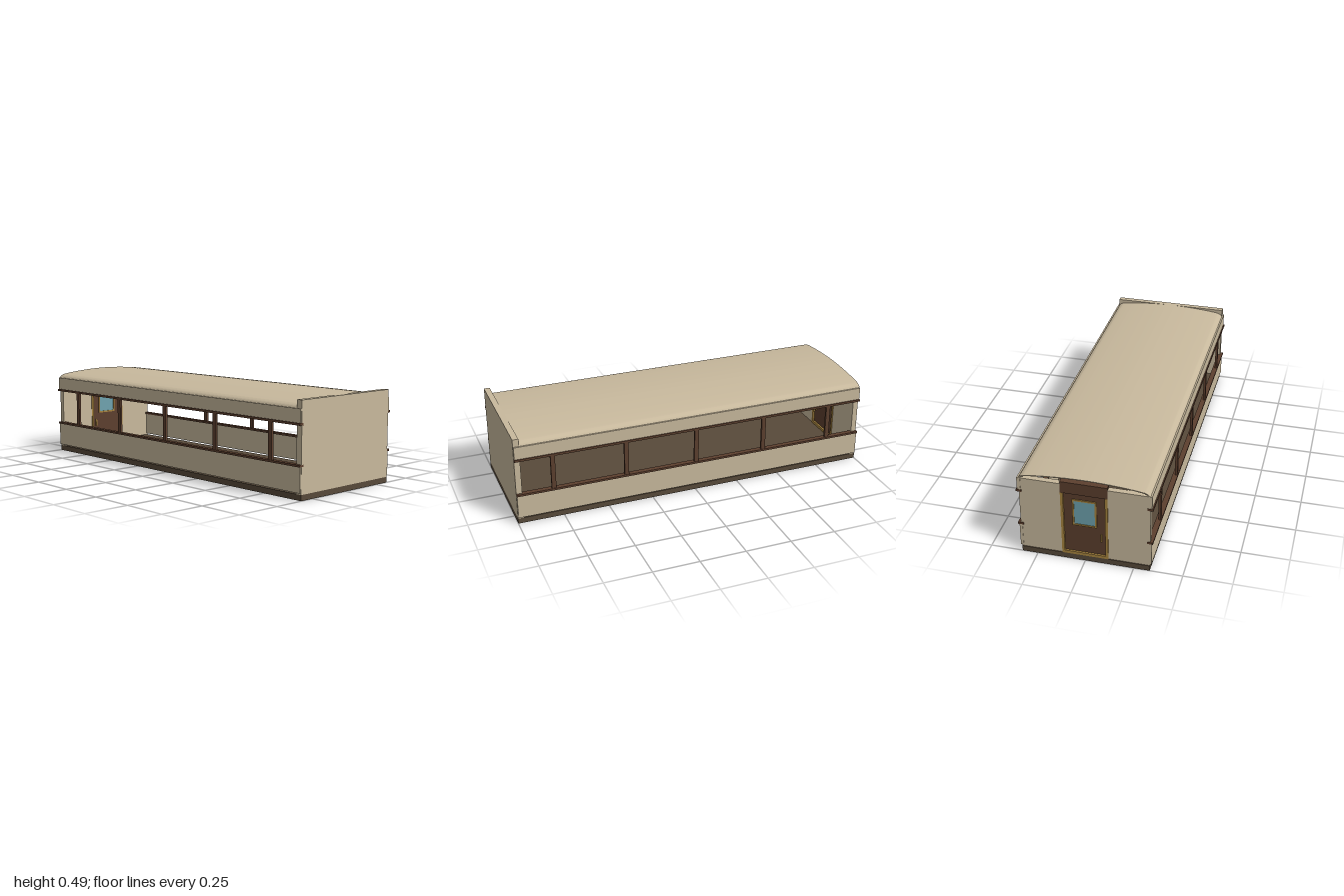
import * as THREE from 'three';

const mat = (color) => new THREE.MeshStandardMaterial({ color });

export function createModel() {
  const group = new THREE.Group();
  const cream = mat(0xc8b99d);
  const brown = mat(0x5c3f2e);
  const dark = mat(0x584a3a);
  const brass = mat(0xa8843f);
  const glass = mat(0x6fa3ae);

  // Box given by its min and max on each axis
  const box = (name, material, [x0, x1], [y0, y1], [z0, z1], parent = group) => {
    const mesh = new THREE.Mesh(new THREE.BoxGeometry(x1 - x0, y1 - y0, z1 - z0), material);
    mesh.position.set((x0 + x1) / 2, (y0 + y1) / 2, (z0 + z1) / 2);
    mesh.name = name;
    parent.add(mesh);
    return mesh;
  };
  // Range on the left (+x) or the right (-x)
  const span = (s, a, b) => (s > 0 ? [a, b] : [-b, -a]);

  // Floor slab and closed front wall
  box('floor', dark, [-0.332, 0.332], [0, 0.03], [-1, 1]);
  box('frontWall', cream, [-0.333, 0.333], [0.03, 0.492], [0.968, 1]);

  // Long sides: panels, rails and window posts
  for (const s of [1, -1]) {
    const side = new THREE.Group();
    side.name = s > 0 ? 'leftSide' : 'rightSide';
    group.add(side);
    box('lowerPanel', cream, span(s, 0.325, 0.34), [0.038, 0.174], [-0.998, 0.998], side);
    box('upperPanel', cream, span(s, 0.323, 0.341), [0.372, 0.45], [-0.998, 0.998], side);
    box('windowSill', brown, span(s, 0.318, 0.347), [0.167, 0.178], [-1, 1], side);
    box('windowHeader', brown, span(s, 0.318, 0.347), [0.369, 0.381], [-1, 1], side);
    for (let i = -2; i <= 2; i++) {
      const z = i * 0.4;
      box('windowPost', brown, span(s, 0.331, 0.344), [0.175, 0.372], [z - 0.012, z + 0.012], side);
    }
    // Rear wall beside the door
    box('rearWall', cream, span(s, 0.118, 0.333), [0.03, 0.45], [-0.996, -0.966]);
  }

  // Rear door with frame, window and handles on both faces
  const door = new THREE.Group();
  door.name = 'rearDoor';
  group.add(door);
  box('doorLeaf', brown, [-0.108, 0.108], [0.04, 0.4], [-0.99, -0.972], door);
  box('doorHeader', brown, [-0.12, 0.12], [0.4, 0.465], [-0.999, -0.964], door);
  box('doorSill', brass, [-0.12, 0.12], [0.03, 0.046], [-1, -0.962], door);
  for (const s of [1, -1]) {
    box('doorJamb', brass, span(s, 0.106, 0.12), [0.046, 0.4], [-1, -0.962], door);
    box('windowFrameSide', brass, span(s, 0.053, 0.062), [0.21, 0.366], [-0.995, -0.967], door);
  }
  for (const y of [0.21, 0.357]) {
    box('windowFrameRail', brass, [-0.062, 0.062], [y, y + 0.009], [-0.995, -0.967], door);
  }
  box('doorGlass', glass, [-0.053, 0.053], [0.219, 0.357], [-0.992, -0.97], door);
  box('doorHandle', brass, [-0.088, -0.08], [0.13, 0.172], [-0.998, -0.964], door);

  // Arched roof shell with rounded shoulders
  const half = [[0.333, 0.449], [0.325, 0.46], [0.313, 0.467], [0.295, 0.472],
    [0.22, 0.481], [0.11, 0.489], [0, 0.492]];
  const arch = [...half, ...half.slice(0, -1).reverse().map(([x, y]) => [-x, y])]
    .map(([x, y]) => new THREE.Vector2(x, y));
  const curve = new THREE.SplineCurve(arch).getPoints(48);
  const inner = curve.map((p) => new THREE.Vector2(p.x * 0.985, p.y - 0.004)).reverse();
  const roofGeometry = new THREE.ExtrudeGeometry(new THREE.Shape([...curve, ...inner]), {
    depth: 1.968, bevelEnabled: false,
  });
  const roof = new THREE.Mesh(roofGeometry, cream);
  roof.position.z = -0.999;
  roof.name = 'roof';
  group.add(roof);

  return group;
}
